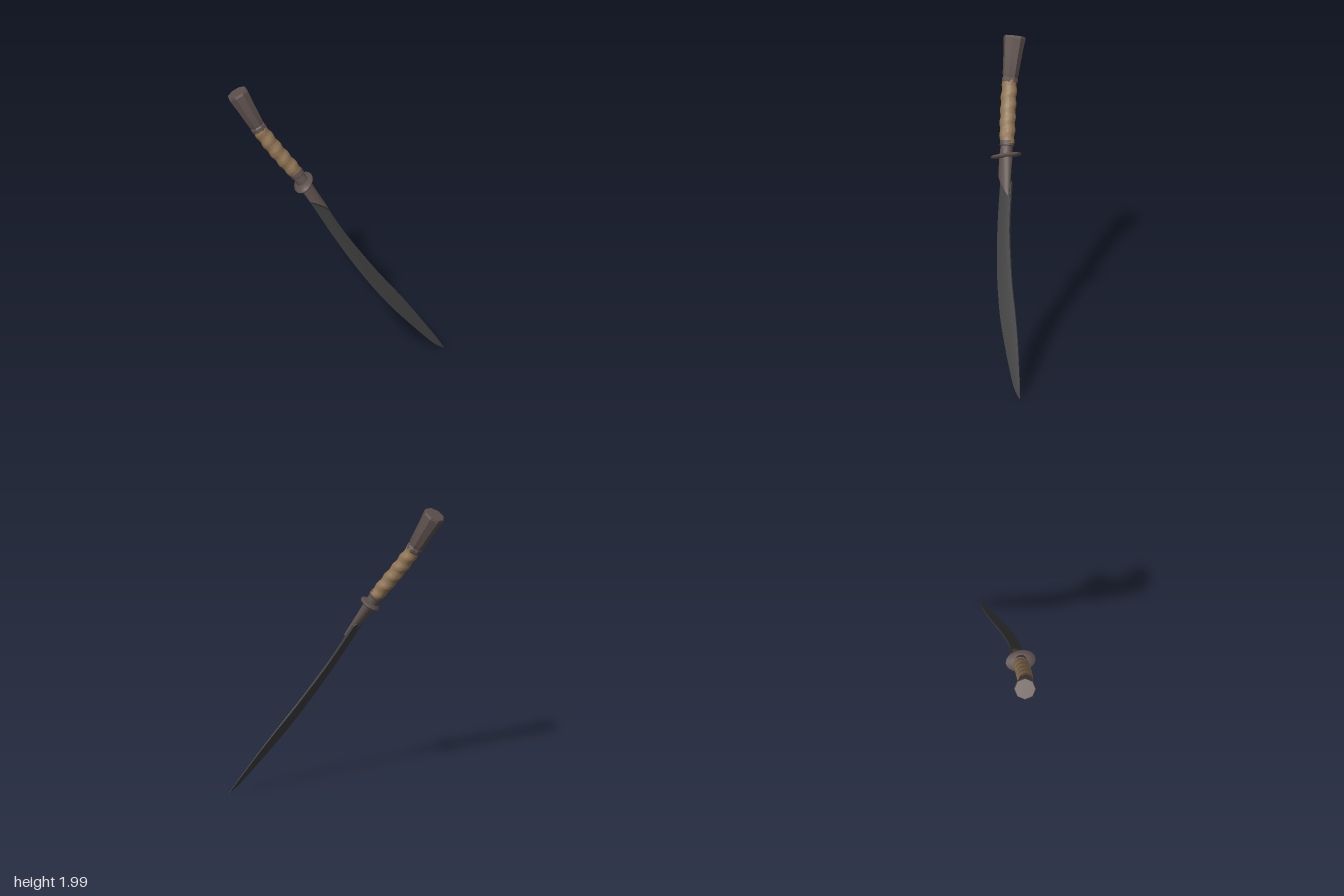
import * as THREE from 'three';
import { toCreasedNormals } from 'three/addons/utils/BufferGeometryUtils.js';

const steel = new THREE.MeshStandardMaterial({ color: 0x3d3e3d });
steel.name = 'dark blade steel';
const iron = new THREE.MeshStandardMaterial({ color: 0x5e514d });
iron.name = 'brown iron';
const wrap = new THREE.MeshStandardMaterial({ color: 0x907555 });
wrap.name = 'tan grip wrap';

// Direction the blade's flat side faces
const flatSide = new THREE.Vector3(1, 0.534, -0.2).normalize();

// Skin between closed rings of equal length, with fan caps at both ends
function loft(rings) {
  const n = rings[0].length, pos = [], idx = [];
  rings.forEach(r => r.forEach(p => pos.push(p[0], p[1], p[2])));
  for (let i = 0; i < rings.length - 1; i++) {
    for (let j = 0; j < n; j++) {
      const k = (j + 1) % n;
      const a = i * n + j, b = i * n + k, c = a + n, d = b + n;
      idx.push(a, b, c, b, d, c);
    }
  }
  const last = (rings.length - 1) * n;
  for (let j = 1; j < n - 1; j++) {
    idx.push(0, j + 1, j);
    idx.push(last, last + j, last + j + 1);
  }
  const g = new THREE.BufferGeometry();
  g.setAttribute('position', new THREE.Float32BufferAttribute(pos, 3));
  g.setIndex(idx);
  return g;
}

function part(name, geometry, material, crease = 0.5) {
  const m = new THREE.Mesh(toCreasedNormals(geometry, crease), material);
  m.name = name;
  return m;
}

const lathe = (pts, sides) =>
  new THREE.LatheGeometry(pts.map(p => new THREE.Vector2(p[0], p[1])), sides);

// Curved blade lying in a tilted plane; each edge is a curve of [z, y]
function bladeGeometry() {
  const edge = pts => new THREE.CatmullRomCurve3(
    pts.map(([z, y]) => new THREE.Vector3(0.568 - 0.534 * y + 0.2 * z, y, z)));
  const cutting = edge([[0.197, 1.21], [0.09, 0.94], [-0.01, 0.72], [-0.1, 0.553],
    [-0.19, 0.408], [-0.28, 0.286], [-0.38, 0.16], [-0.475, 0.05], [-0.54, 0.001]]);
  const spine = edge([[0.09, 1.17], [-0.015, 0.92], [-0.1, 0.76], [-0.19, 0.605],
    [-0.275, 0.475], [-0.365, 0.33], [-0.45, 0.18], [-0.51, 0.07], [-0.541, 0.003]]);
  const rings = [];
  const steps = 40;
  for (let i = 0; i <= steps; i++) {
    const t = i / steps;
    const c = cutting.getPoint(t), s = spine.getPoint(t);
    const thick = 0.01 * (1 - 0.75 * t);
    const at = (f, h) => s.clone().lerp(c, f).addScaledVector(flatSide, h * thick).toArray();
    rings.push([at(0, 0.8), at(0.4, 1), at(1, 0.05), at(1, -0.05), at(0.4, -1), at(0, -0.8)]);
  }
  return loft(rings);
}

// Sleeve that grips the blade root, cut off on a slant
function sleeveGeometry() {
  const rings = [];
  for (let i = 0; i <= 6; i++) {
    const k = i / 6, ring = [];
    for (let j = 0; j < 20; j++) {
      const a = j / 20 * Math.PI * 2;
      ring.push([
        Math.cos(a) * (0.036 - 0.015 * k) - 0.004 * k,
        -k * (0.2 - 0.07 * Math.sin(a)),
        Math.sin(a) * 0.047
      ]);
    }
    rings.push(ring);
  }
  return loft(rings);
}

// Grip with a spiral of soft wrapped ridges, bowed slightly towards its top
const bow = { x: -0.014, z: 0.026 };
function gripGeometry() {
  const g = new THREE.CylinderGeometry(1, 1, 0.42, 24, 42);
  const p = g.attributes.position;
  for (let i = 0; i < p.count; i++) {
    const x = p.getX(i), y = p.getY(i), z = p.getZ(i);
    const a = Math.atan2(z, x);
    const end = Math.abs(y) / 0.21;
    const r = 0.048 - 0.005 * end ** 4 + 0.003 * Math.sin(a + y * Math.PI * 2 / 0.085);
    const bend = Math.sin((y / 0.42 + 0.5) * Math.PI / 2);
    p.setXYZ(i, x * r + bow.x * bend, y, z * r * 1.06 + bow.z * bend);
  }
  return g;
}

export function createModel() {
  const model = new THREE.Group();
  model.name = 'curvedSword';
  model.add(part('blade', bladeGeometry(), steel, 0.35));

  // Hilt: local y runs from guard to pommel, local x is the blade's flat side
  const hilt = new THREE.Group();
  hilt.name = 'hilt';
  const up = new THREE.Vector3(-0.42, 0.839, 0.35).normalize();
  const across = flatSide.clone().addScaledVector(up, -flatSide.dot(up)).normalize();
  const edgeward = new THREE.Vector3().crossVectors(across, up);
  hilt.quaternion.setFromRotationMatrix(new THREE.Matrix4().makeBasis(across, up, edgeward));
  hilt.position.set(-0.08, 1.31, 0.195);
  model.add(hilt);

  hilt.add(part('bladeSleeve', sleeveGeometry(), iron));

  // Oval guard, set diagonally and leaning
  const guard = part('guard', lathe([[0, -0.016], [0.5, -0.014], [0.95, -0.008], [1, 0],
    [0.95, 0.007], [0.5, 0.014], [0, 0.016]], 28), iron, 0.8);
  guard.scale.set(0.1, 1, 0.07);
  guard.rotation.set(0, -1.05, -0.2);
  hilt.add(guard);

  // Collar between guard and grip
  hilt.add(part('lowerCollar', lathe([[0, 0], [0.042, 0], [0.04, 0.06], [0.046, 0.065],
    [0.046, 0.095], [0, 0.1]], 12), iron, 0.6));

  const grip = part('grip', gripGeometry(), wrap, 0.9);
  grip.position.y = 0.29;
  hilt.add(grip);

  // Flared eight-sided pommel with a lip at its foot, tipped back over the bowed grip
  const pommel = new THREE.Group();
  pommel.name = 'pommel';
  const knob = part('pommelKnob', lathe([[0, -0.025], [0.046, -0.025], [0.052, -0.015],
    [0.052, 0.005], [0.047, 0.015], [0.052, 0.03], [0.063, 0.18], [0.072, 0.265],
    [0.067, 0.281], [0, 0.283]], 8), iron, 0.3);
  knob.rotation.y = Math.PI / 8;
  pommel.add(knob);
  pommel.position.set(bow.x, 0.5, bow.z);
  pommel.rotation.set(-0.06, 0, -0.04);
  hilt.add(pommel);

  return model;
}
